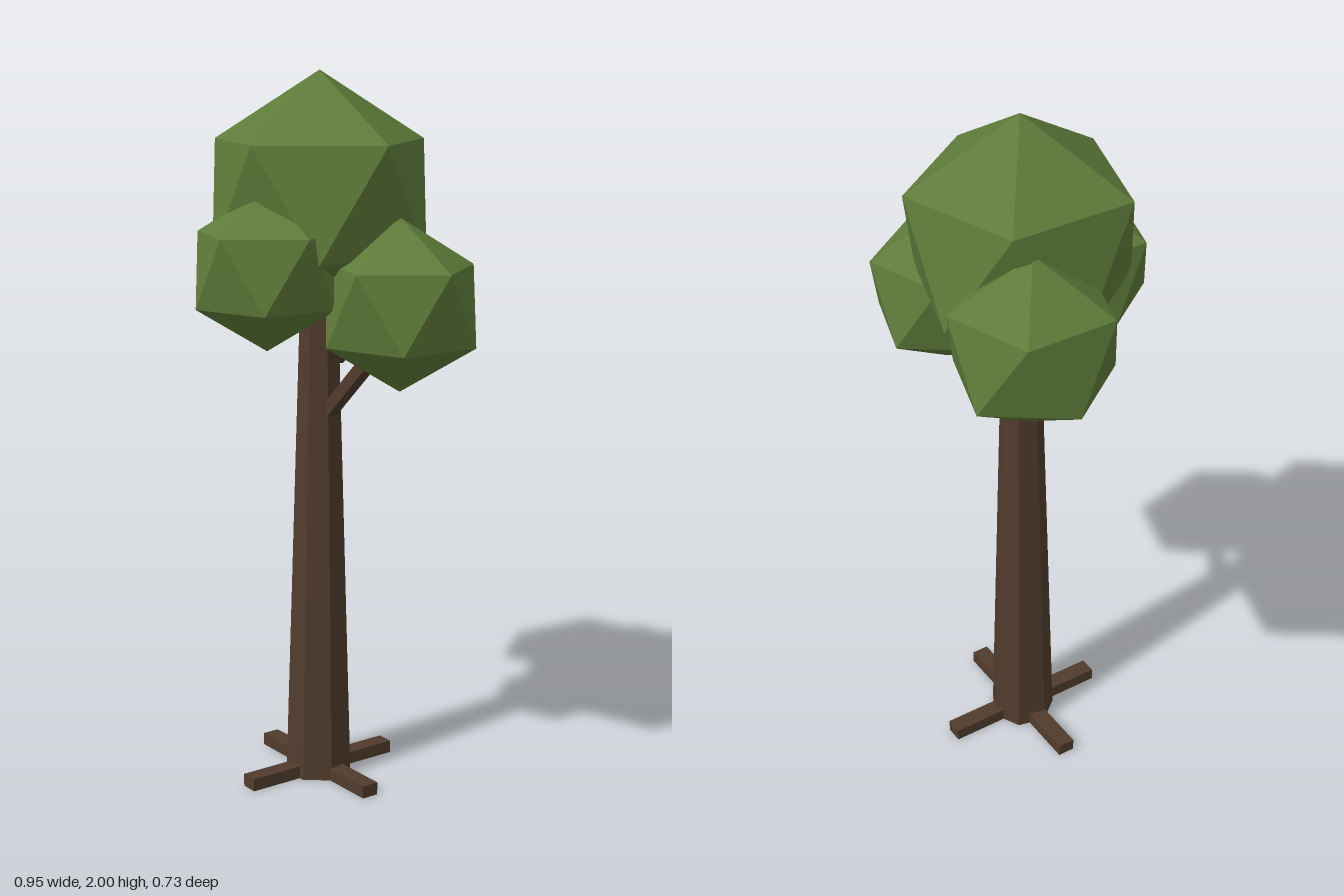
import * as THREE from 'three';

export function createModel() {
  const tree = new THREE.Group();
  tree.name = 'tree';

  const bark = new THREE.MeshStandardMaterial({ color: 0x503c2d, flatShading: true });
  bark.name = 'bark brown';
  const leaf = new THREE.MeshStandardMaterial({ color: 0x5e7b3a, flatShading: true });
  leaf.name = 'leaf green';

  const add = (name, geometry, material, x, y, z) => {
    const mesh = new THREE.Mesh(geometry, material);
    mesh.name = name;
    mesh.position.set(x, y, z);
    tree.add(mesh);
    return mesh;
  };

  const cx = -0.011, cz = -0.034; // trunk axis

  // Seven-sided tapering trunk, one corner pointing back
  const trunkHeight = 1.4;
  const trunk = new THREE.CylinderGeometry(0.053, 0.095, trunkHeight, 7);
  trunk.rotateY(Math.PI);
  add('trunk', trunk, bark, cx, trunkHeight / 2, cz);

  // Four flat roots in a cross
  const rootInner = 0.05, rootOuter = 0.245, rootHeight = 0.036;
  for (let i = 0; i < 4; i++) {
    const root = new THREE.BoxGeometry(rootOuter - rootInner, rootHeight, 0.05);
    root.translate((rootInner + rootOuter) / 2, 0, 0);
    add('root', root, bark, cx, rootHeight / 2, cz).rotation.y = i * Math.PI / 2;
  }

  // Square branches, each in a plane of constant z
  const branch = (name, x0, y0, x1, y1, z) => {
    const length = Math.hypot(x1 - x0, y1 - y0);
    const mesh = add(name, new THREE.BoxGeometry(0.035, length, 0.035), bark,
      (x0 + x1) / 2, (y0 + y1) / 2, z);
    mesh.rotation.z = -Math.atan2(x1 - x0, y1 - y0);
  };
  branch('leftBranch', 0.0, 1.04, 0.25, 1.272, -0.033);
  branch('rightBranch', -0.015, 1.2, -0.2, 1.44, -0.112);

  // Icosahedral leaf clumps standing on a corner
  const tilt = -Math.atan(2 / (1 + Math.sqrt(5)));
  const clump = (name, r, x, y, z) => {
    const ball = new THREE.IcosahedronGeometry(r, 0);
    ball.rotateZ(tilt);
    add(name, ball, leaf, x, y, z);
  };
  clump('mainCrown', 0.338, -0.012, 1.662, -0.035);
  clump('rightCrown', 0.244, -0.258, 1.513, -0.157);
  clump('leftCrown', 0.232, 0.267, 1.39, -0.0975);
  clump('frontCrown', 0.218, 0.0455, 1.483, 0.18);

  return tree;
}
